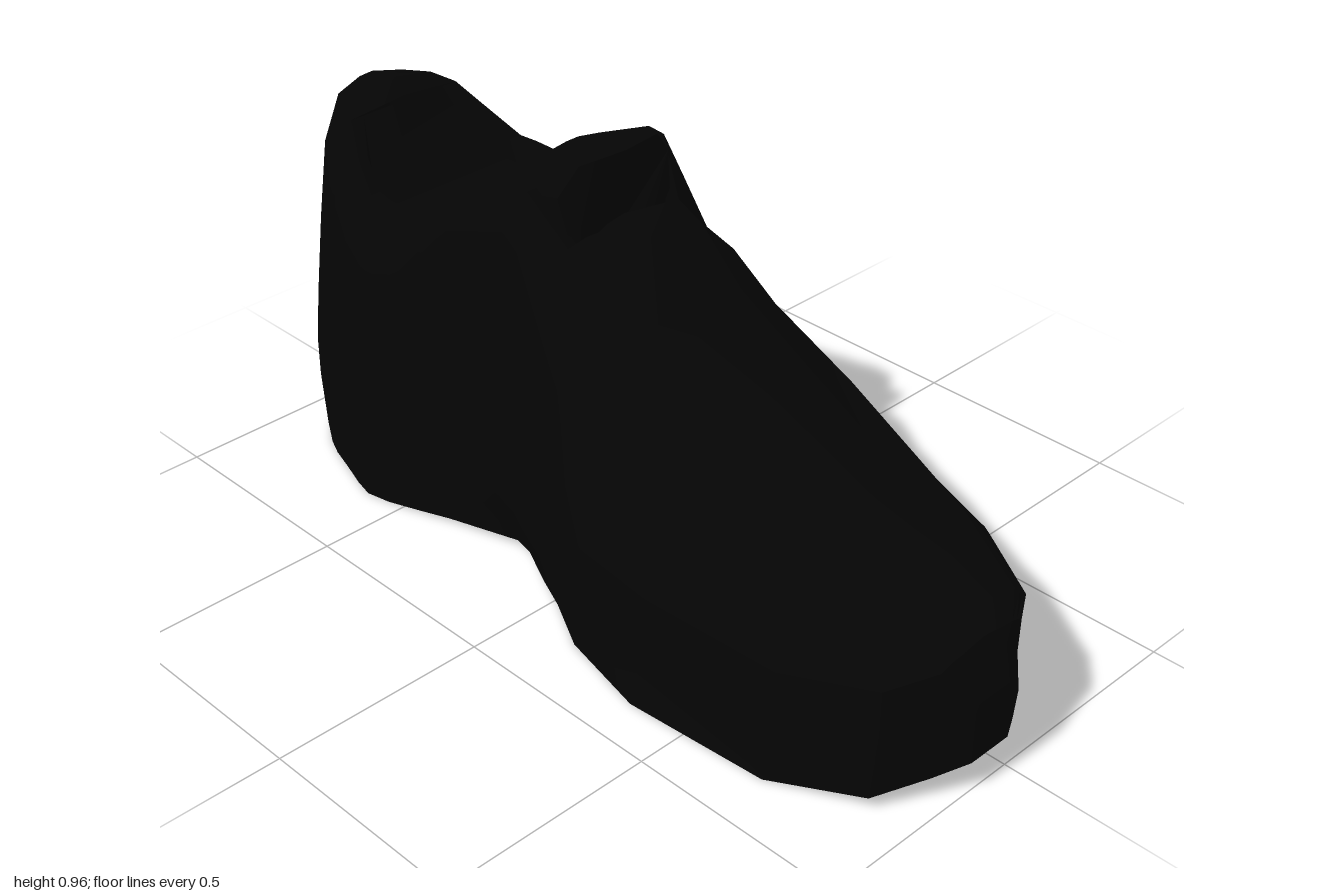
import * as THREE from 'three';
import { toCreasedNormals } from 'three/addons/utils/BufferGeometryUtils.js';

const black = new THREE.MeshStandardMaterial({ color: 0x050505, side: THREE.DoubleSide });
black.name = 'black leather';

// Stations: z, bottom y, sole top y, bottom x (right, left side), sole top x (both), rim x (both), rim y
const VAMP = [
  [1, 0.07, 0.19, -0.11, 0, -0.11, 0, -0.1, -0.01, 0.21],
  [0.96, 0.05, 0.3, -0.18, 0.07, -0.175, 0.065, -0.11, 0.01, 0.312],
  [0.9, 0.03, 0.275, -0.29, 0.17, -0.27, 0.16, -0.14, 0.08, 0.322],
  [0.7, 0, 0.25, -0.37, 0.305, -0.345, 0.3, -0.16, 0.13, 0.37],
  [0.36, 0, 0.24, -0.395, 0.39, -0.353, 0.367, -0.16, 0.14, 0.54],
  [0.14, 0, 0.24, -0.345, 0.358, -0.33, 0.365, -0.155, 0.14, 0.66],
  [0.02, 0.005, 0.24, -0.282, 0.345, -0.295, 0.35, -0.155, 0.145, 0.765],
  [-0.06, 0.01, 0.25, -0.25, 0.333, -0.275, 0.34, -0.16, 0.155, 0.79],
];
const COLLAR = [
  [-0.15, 0.02, 0.25, -0.21, 0.32, -0.255, 0.325, -0.185, 0.2, 0.895],
  [-0.2, 0.02, 0.25, -0.2, 0.312, -0.25, 0.32, -0.185, 0.205, 0.895],
  [-0.38, 0.01, 0.25, -0.245, 0.282, -0.245, 0.3, -0.195, 0.23, 0.81],
  [-0.46, 0.005, 0.25, -0.27, 0.29, -0.26, 0.3, -0.2, 0.24, 0.77],
  [-0.54, 0, 0.25, -0.293, 0.3, -0.278, 0.3, -0.21, 0.24, 0.71],
  [-0.6, 0, 0.25, -0.305, 0.3, -0.282, 0.3, -0.21, 0.24, 0.71],
  [-0.65, 0, 0.25, -0.293, 0.285, -0.275, 0.285, -0.2, 0.235, 0.71],
  [-0.72, 0, 0.25, -0.27, 0.255, -0.262, 0.265, -0.175, 0.205, 0.76],
];
const HEEL = [
  [-0.785, 0, 0.25, -0.25, 0.235, -0.245, 0.245, -0.14, 0.16, 0.825],
  [-0.83, 0, 0.25, -0.23, 0.215, -0.23, 0.23, -0.11, 0.125, 0.845],
  [-0.89, 0.01, 0.25, -0.195, 0.185, -0.205, 0.2, -0.08, 0.09, 0.842],
  [-0.935, 0.02, 0.25, -0.15, 0.14, -0.16, 0.155, -0.06, 0.065, 0.815],
  [-0.975, 0.03, 0.25, -0.11, 0.1, -0.115, 0.11, -0.05, 0.05, 0.7],
  [-1, 0.2, 0.3, -0.05, 0.03, -0.05, 0.03, -0.04, 0.02, 0.57],
];
const ALL = [...VAMP, ...COLLAR, ...HEEL];

// Side bulge from rim to sole: share of the width, share of the height
const SIDE = [[0, 1], [0.47, 0.82], [0.7, 0.52], [0.9, 0.2], [1, 0]];

const wall = ([z, , ym, , , ml, mr, tl, tr, ty], right) => SIDE.map(([u, v]) => {
  const m = right ? mr : ml, t = right ? tr : tl;
  return [t + (m - t) * u, ym + (ty - ym) * v, z];
});
// Sole, with a slight waist in its side walls
const soleRow = ([z, yb, ym, bl, br, ml, mr]) => {
  const y = yb + (ym - yb) * 0.6;
  return [[mr, ym, z], [mr - 0.015, y, z], [br, yb, z], [bl, yb, z], [ml, y, z], [ml, ym, z]];
};
const topRow = ([z, , , , , , , tl, tr, ty], crown) =>
  [[tl, ty, z], [(tl + tr) / 2, ty + crown, z], [tr, ty, z]];

// Triangles of a grid of rows running from front to back
function grid(rows) {
  const out = [];
  for (let i = 0; i + 1 < rows.length; i++) {
    for (let j = 0; j + 1 < rows[i].length; j++) {
      const a = rows[i][j], b = rows[i][j + 1], c = rows[i + 1][j + 1], d = rows[i + 1][j];
      out.push(a, b, c, a, c, d);
    }
  }
  return out;
}

// Flat cap over one ring
function cap(ring, front) {
  const c = [0, 1, 2].map(k => ring.reduce((s, p) => s + p[k], 0) / ring.length);
  return ring.flatMap((p, j) => {
    const q = ring[(j + 1) % ring.length];
    return front ? [c, q, p] : [c, p, q];
  });
}

function mesh(name, tris) {
  const g = new THREE.BufferGeometry();
  g.setAttribute('position', new THREE.Float32BufferAttribute(tris.flat(), 3));
  const m = new THREE.Mesh(toCreasedNormals(g, 0.5), black);
  m.name = name;
  return m;
}

// Whole outline of a station, used to close toe and heel
const ring = s => [...wall(s, true), ...soleRow(s).slice(1, 5), ...wall(s, false).reverse()];

// Tongue: a bent, thick tab standing at the front of the opening
function tongue() {
  const shape = new THREE.Shape([
    [-0.13, 0.7], [-0.06, 0.7], [0, 0.7], [0.06, 0.7], [0.13, 0.7], [0.16, 0.89],
    [0.11, 0.95], [0, 0.958], [-0.11, 0.95], [-0.155, 0.89],
  ].map(p => new THREE.Vector2(...p)));
  const g = new THREE.ExtrudeGeometry(shape, { depth: 0.07, bevelEnabled: false });
  const p = g.attributes.position;
  for (let i = 0; i < p.count; i++) {
    const x = p.getX(i), y = p.getY(i), back = p.getZ(i) < 0.01;
    p.setZ(i, p.getZ(i) - 0.125 - 2 * x * x - (y - 0.955) * 0.14);
    if (back && y > 0.8) p.setY(i, y - 0.018);
  }
  const m = new THREE.Mesh(toCreasedNormals(g, 0.5), black);
  m.name = 'tongue';
  return m;
}

export function createModel() {
  const shoe = new THREE.Group();
  shoe.name = 'shoe';

  shoe.add(mesh('sole', grid(ALL.map(soleRow))));
  shoe.add(mesh('leftSide', grid(ALL.map(s => wall(s, true)))));
  shoe.add(mesh('rightSide', grid(ALL.map(s => wall(s, false).reverse()))));
  shoe.add(mesh('vamp', grid(VAMP.map((s, i) => topRow(s, 0.035 * Math.min(1, i / 4) * (i < 6 ? 1 : 0.7))))));
  shoe.add(mesh('heelTop', grid(HEEL.map((s, i) => topRow(s, i ? 0.023 : 0.012)))));
  shoe.add(mesh('toeTip', cap(ring(ALL[0]), true)));
  shoe.add(mesh('heelBack', cap(ring(ALL[ALL.length - 1]), false)));

  // Padded inside: a shallow surface just below the rim edge, rising to the heel
  const inside = [VAMP[VAMP.length - 1], ...COLLAR, HEEL[0]];
  shoe.add(mesh('lining', grid(inside.map(([z, , , , , , , tl, tr, ty], i) => {
    const y = i < inside.length - 1 ? ty - 0.045 : ty;
    return [[tl, ty, z], [tl + 0.025, ty, z], [tl + 0.035, y, z],
      [tr - 0.045, y, z], [tr - 0.035, ty, z], [tr, ty, z]];
  }))));

  shoe.add(tongue());
  return shoe;
}
